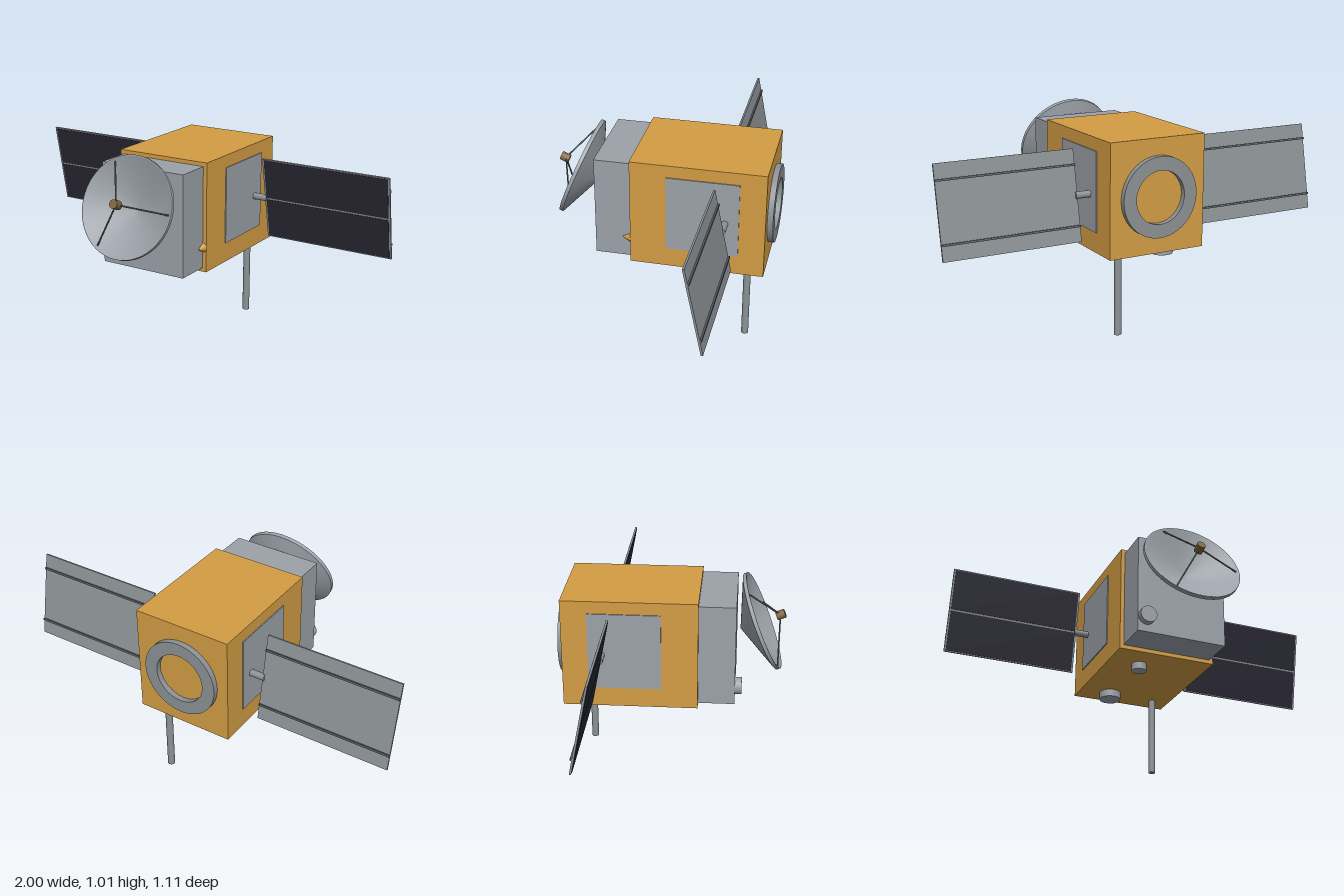
import * as THREE from 'three';
import { toCreasedNormals } from 'three/addons/utils/BufferGeometryUtils.js';

const material = (name, color) => {
  const m = new THREE.MeshStandardMaterial({ color });
  m.name = name;
  return m;
};

export function createModel() {
  const gold = material('gold foil', 0xd39d44);
  const gray = material('light gray', 0x9ca2a9);
  const metal = material('metal gray', 0x8c9295);
  const dark = material('dark gray', 0x5c6164);
  const cell = material('solar cell', 0x2a2936);
  const brown = material('feed brown', 0x80673f);

  const root = new THREE.Group();
  root.name = 'satellite';

  const add = (parent, name, geometry, mat, x = 0, y = 0, z = 0) => {
    const mesh = new THREE.Mesh(geometry, mat);
    mesh.name = name;
    mesh.position.set(x, y, z);
    parent.add(mesh);
    return mesh;
  };
  const box = (w, h, d) => new THREE.BoxGeometry(w, h, d);
  const cyl = (r, h, n = 32) => new THREE.CylinderGeometry(r, r, h, n);
  const lathe = (pts, n) => toCreasedNormals(
    new THREE.LatheGeometry(pts.map(([r, y]) => new THREE.Vector2(r, y)), n), 0.35);
  // Thin rod between two points
  const rod = (parent, name, a, b, r, mat) => {
    const dir = b.clone().sub(a);
    const mesh = add(parent, name, cyl(r, dir.length(), 8), mat);
    mesh.position.copy(a).addScaledVector(dir, 0.5);
    mesh.quaternion.setFromUnitVectors(new THREE.Vector3(0, 1, 0), dir.normalize());
  };

  // Main body and front equipment box
  add(root, 'body', box(0.5, 0.55, 0.66), gold, 0, 0.68, -0.197);
  add(root, 'frontBox', box(0.46, 0.51, 0.185), gray, 0, 0.68, 0.2195);
  add(root, 'frontSensor', cyl(0.042, 0.04), gray, -0.185, 0.505, 0.325).rotation.x = Math.PI / 2;
  add(root, 'nozzleCone', new THREE.ConeGeometry(0.023, 0.045, 24), gold, 0.232, 0.53, 0.155).rotation.x = Math.PI / 2;

  // Docking ring on the back
  const ring = lathe([[0.128, 0], [0.194, 0], [0.194, 0.03], [0.128, 0.03], [0.128, 0]], 48);
  add(root, 'backRing', ring, metal, 0, 0.68, -0.525).rotation.x = -Math.PI / 2;

  // Parts under the body
  add(root, 'undersideSensorLarge', cyl(0.055, 0.045), gray, -0.09, 0.39, -0.417);
  add(root, 'undersideSensorSmall', cyl(0.037, 0.045), gray, -0.09, 0.39, -0.012);
  add(root, 'mast', cyl(0.018, 0.41, 16), metal, 0.16, 0.205, -0.437);

  // Side radiators, arms and solar wings
  for (const s of [1, -1]) {
    const side = s > 0 ? 'left' : 'right';
    add(root, side + 'Radiator', box(0.01, 0.388, 0.355), gray, s * 0.25, 0.699, -0.2225);
    add(root, side + 'Arm', cyl(0.017, 0.09, 16), metal, s * 0.285, 0.68, -0.333).rotation.z = Math.PI / 2;

    const wing = new THREE.Group();
    wing.name = side + 'Wing';
    wing.position.set(s * 0.66, 0.68, -0.333);
    wing.rotation.x = 0.197;
    root.add(wing);
    add(wing, 'panel', box(0.68, 0.436, 0.01), metal);
    for (const v of [1, -1]) {
      add(wing, 'cells', box(0.662, 0.208, 0.003), cell, 0, v * 0.1085, 0.0055);
      add(wing, 'rail', box(0.68, 0.01, 0.008), dark, 0, v * 0.143, -0.009);
    }
  }

  // Dish antenna; its local y is the pointing axis
  const dish = new THREE.Group();
  dish.name = 'dishAntenna';
  dish.position.set(0, 0.776, 0.446);
  dish.rotation.x = 1.183;
  root.add(dish);
  add(dish, 'dishShell', lathe([[0, -0.125], [0.25, -0.018], [0.25, 0], [0.245, 0], [0.125, -0.064], [0, -0.102]], 64), gray);
  add(dish, 'feed', cyl(0.022, 0.044, 20), brown, 0, 0.087, 0);
  for (let i = 0; i < 3; i++) {
    const a = (i * Math.PI * 2) / 3;
    rod(dish, 'feedStrut',
      new THREE.Vector3(Math.cos(a) * 0.235, -0.006, -Math.sin(a) * 0.235),
      new THREE.Vector3(Math.cos(a) * 0.012, 0.08, -Math.sin(a) * 0.012), 0.004, dark);
  }

  return root;
}
